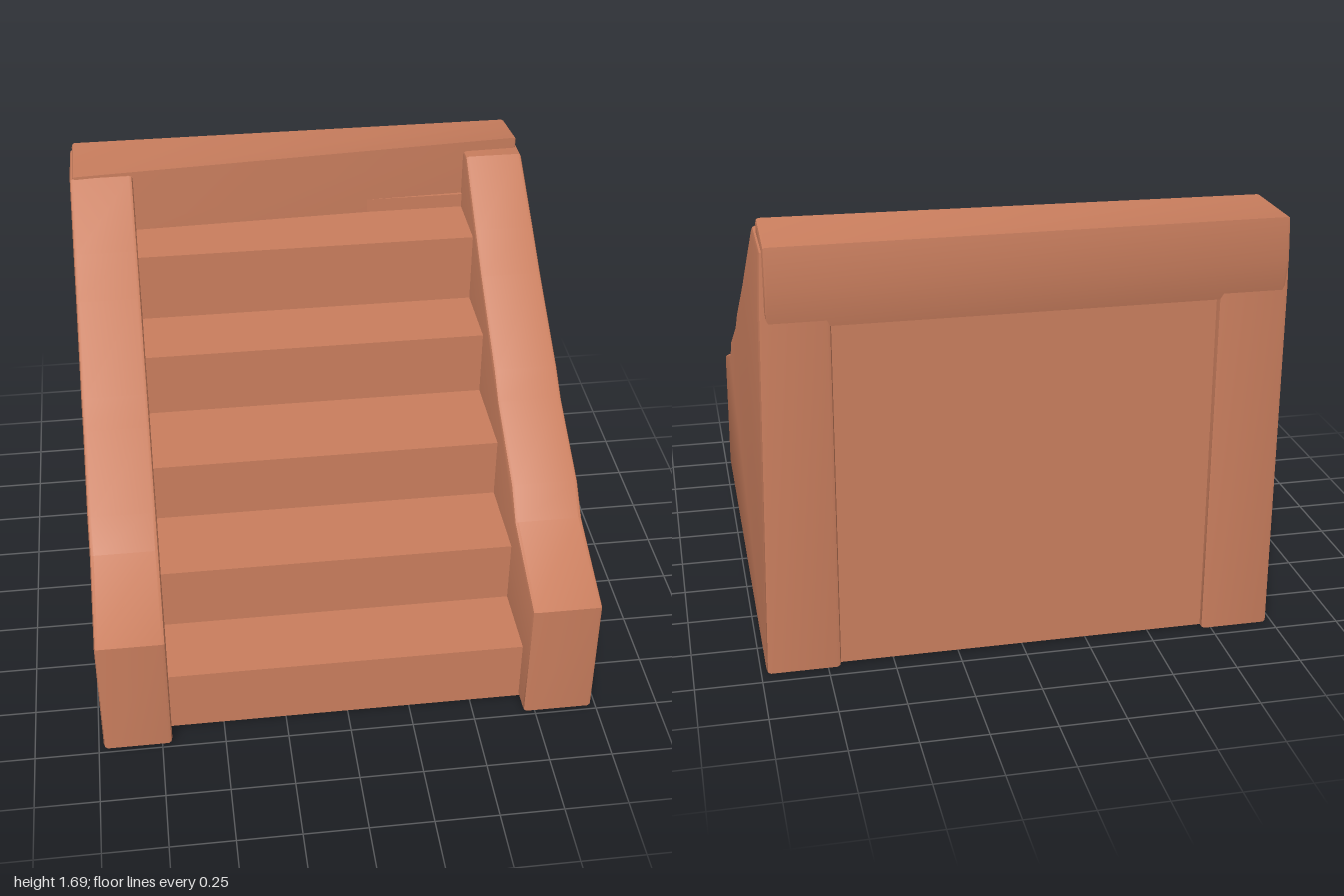
import * as THREE from 'three';
import { toCreasedNormals } from 'three/addons/utils/BufferGeometryUtils.js';

// Extrudes a side profile of [z, y] points across x, from x0 to x1
function sideExtrude(points, x0, x1, bevel = 0) {
  const shape = new THREE.Shape(points.map(([z, y]) => new THREE.Vector2(z, y)));
  const geo = new THREE.ExtrudeGeometry(shape, {
    depth: x1 - x0 - 2 * bevel,
    bevelEnabled: bevel > 0, bevelSize: bevel, bevelThickness: bevel,
    bevelOffset: -bevel, bevelSegments: 2,
  });
  geo.rotateY(-Math.PI / 2);
  geo.translate(x1 - bevel, 0, 0);
  return geo;
}

// Moves vertices by a rule and renews the normals
function warp(geo, rule) {
  const pos = geo.attributes.position;
  const v = new THREE.Vector3();
  for (let i = 0; i < pos.count; i++) {
    v.fromBufferAttribute(pos, i);
    rule(v);
    pos.setXYZ(i, v.x, v.y, v.z);
  }
  return toCreasedNormals(geo, 0.6);
}

export function createModel() {
  const model = new THREE.Group();
  model.name = 'staircase';
  const clay = new THREE.MeshStandardMaterial({ color: 0xc87d5d });
  clay.name = 'terracotta';

  const add = (name, geo) => {
    const mesh = new THREE.Mesh(geo, clay);
    mesh.name = name;
    model.add(mesh);
  };

  // Solid flight of steps: riser positions and tread heights
  const risers = [0.9, 0.6, 0.25, -0.13, -0.43];
  const treads = [0.28, 0.55, 0.81, 1.09, 1.39];
  const backZ = -0.93;
  const flight = [[backZ, 0.01], [risers[0], 0.01]];
  risers.forEach((z, i) => {
    flight.push([z, treads[i]]);
    flight.push([risers[i + 1] ?? -0.7, treads[i]]);
  });
  flight.push([-0.7, 1.45], [backZ, 1.45]);
  add('steps', toCreasedNormals(sideExtrude(flight, -0.73, 0.72), 0.6));

  // Sloping side walls, slightly narrower towards the top
  const wall = [
    [-0.945, 0], [0.99, 0.01], [1.0, 0.55], [0.62, 0.69], [0.52, 0.8], [0.2, 0.98],
    [0.1, 1.07], [-0.24, 1.31], [-0.4, 1.44], [-0.66, 1.65], [-0.95, 1.64], [-0.96, 1.4],
  ];
  for (const side of [1, -1]) {
    const geo = sideExtrude(wall, side > 0 ? 0.7 : -0.98, side > 0 ? 0.98 : -0.71, 0.015);
    const lean = side > 0 ? 0.04 : 0.01;
    add(side > 0 ? 'leftWall' : 'rightWall', warp(geo, (v) => {
      if (Math.abs(v.x) > 0.9) v.x -= side * lean * (v.y / 1.66) ** 2;
    }));
  }

  // Top landing, running across both walls and overhanging the back
  const landing = [
    [-0.955, 1.36], [-0.69, 1.37], [-0.69, 1.66], [-0.97, 1.66], [-0.985, 1.5],
  ];
  add('topLanding', warp(sideExtrude(landing, -0.96, 0.93, 0.012), (v) => {
    if (v.z > -0.8) v.z -= 0.035 * v.x;
    if (v.y > 1.6 && v.x > 0.8 && v.z > -0.8) v.y += 0.035;
  }));

  return model;
}
